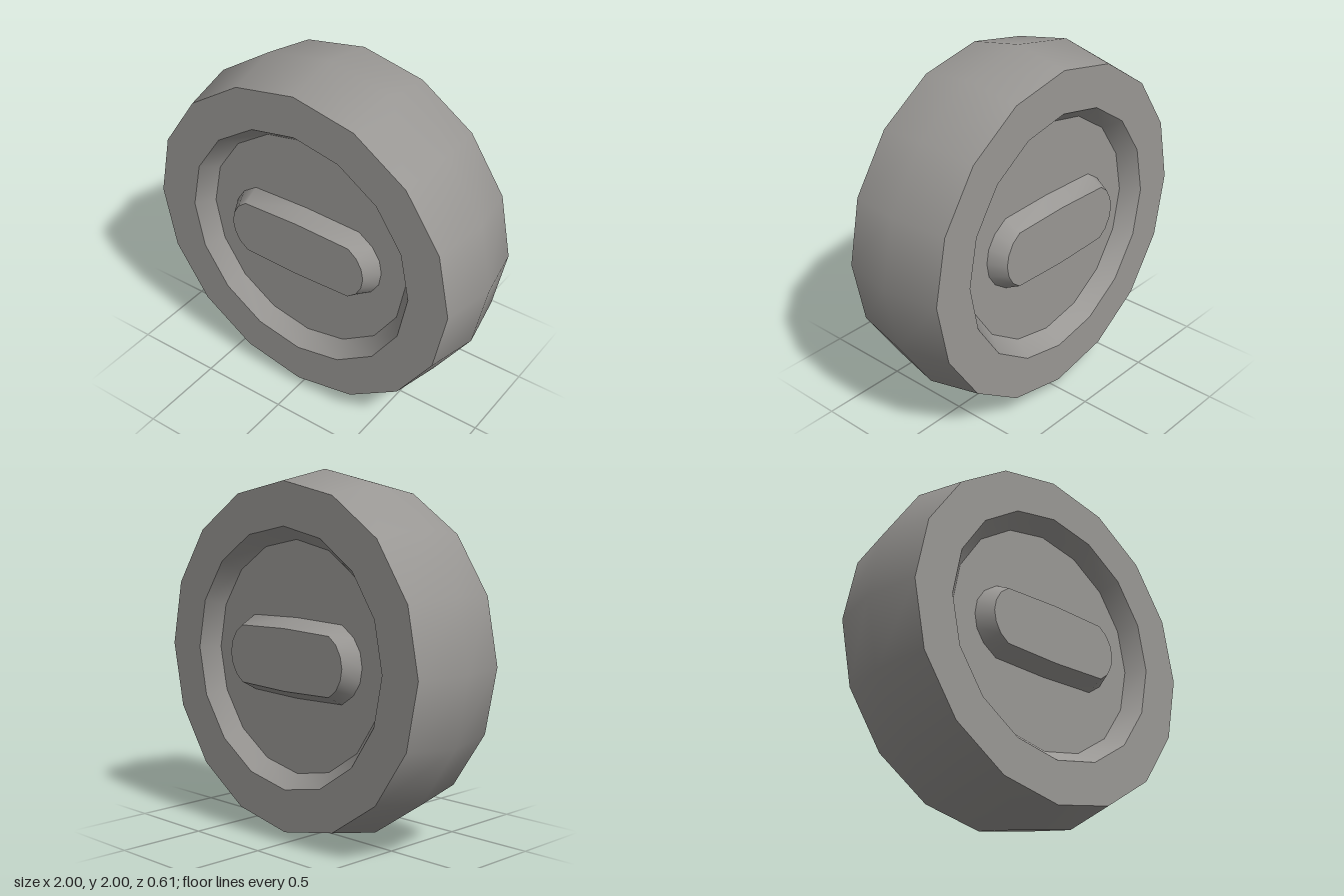
import * as THREE from 'three';
import { toCreasedNormals } from 'three/addons/utils/BufferGeometryUtils.js';

const SIDES = 16;
const HALF = 0.305; // half thickness
const FLOOR = 0.21; // z of the recess floor
const CREASE = 0.7;

// 16-sided wheel with a ridged tread and a dished recess on both faces
function wheelGeometry() {
  const front = [[1, 0], [0.94, HALF], [0.705, HALF], [0.632, FLOOR], [0, FLOOR]];
  const back = front.slice(1).reverse().map(([r, z]) => [r, -z]);
  const profile = [...back, ...front].map(([r, z]) => new THREE.Vector2(r, z));
  const geo = new THREE.LatheGeometry(profile, SIDES);
  geo.rotateX(Math.PI / 2);
  return toCreasedNormals(geo, CREASE);
}

// Mirror a quarter outline (from +x to +y) into a full counter-clockwise loop
function fullLoop(quarter) {
  const half = [...quarter, ...quarter.slice(0, -1).reverse().map(([x, y]) => [-x, y])];
  return [...half, ...half.slice(1, -1).reverse().map(([x, y]) => [x, -y])];
}

// Tapered bar between a base outline and a smaller top outline
function barGeometry() {
  const base = fullLoop([[0.48, 0], [0.466, 0.08], [0.42, 0.15], [0.337, 0.208], [0, 0.218]]);
  const top = fullLoop([[0.43, 0], [0.418, 0.062], [0.386, 0.118], [0.335, 0.158], [0, 0.168]]);
  const n = base.length;
  const positions = [];
  const index = [];
  base.forEach(([x, y]) => positions.push(x, y, FLOOR));
  top.forEach(([x, y]) => positions.push(x, y, HALF));
  positions.push(0, 0, HALF);
  for (let i = 0; i < n; i++) {
    const j = (i + 1) % n;
    index.push(i, j, n + j, i, n + j, n + i);
    index.push(n + i, n + j, 2 * n);
  }
  const geo = new THREE.BufferGeometry();
  geo.setAttribute('position', new THREE.Float32BufferAttribute(positions, 3));
  geo.setIndex(index);
  return toCreasedNormals(geo, CREASE);
}

export function createModel() {
  const grey = new THREE.MeshStandardMaterial({ color: 0x999794 });
  grey.name = 'warm grey';

  const group = new THREE.Group();
  group.name = 'wheel';

  const wheel = new THREE.Mesh(wheelGeometry(), grey);
  wheel.name = 'wheelBody';
  wheel.position.y = 1;
  group.add(wheel);

  // Raised bar in the recess of each face
  const bar = barGeometry();
  ['frontBar', 'backBar'].forEach((name, i) => {
    const mesh = new THREE.Mesh(bar, grey);
    mesh.name = name;
    mesh.position.y = 1;
    mesh.rotation.y = i * Math.PI;
    group.add(mesh);
  });
  return group;
}
